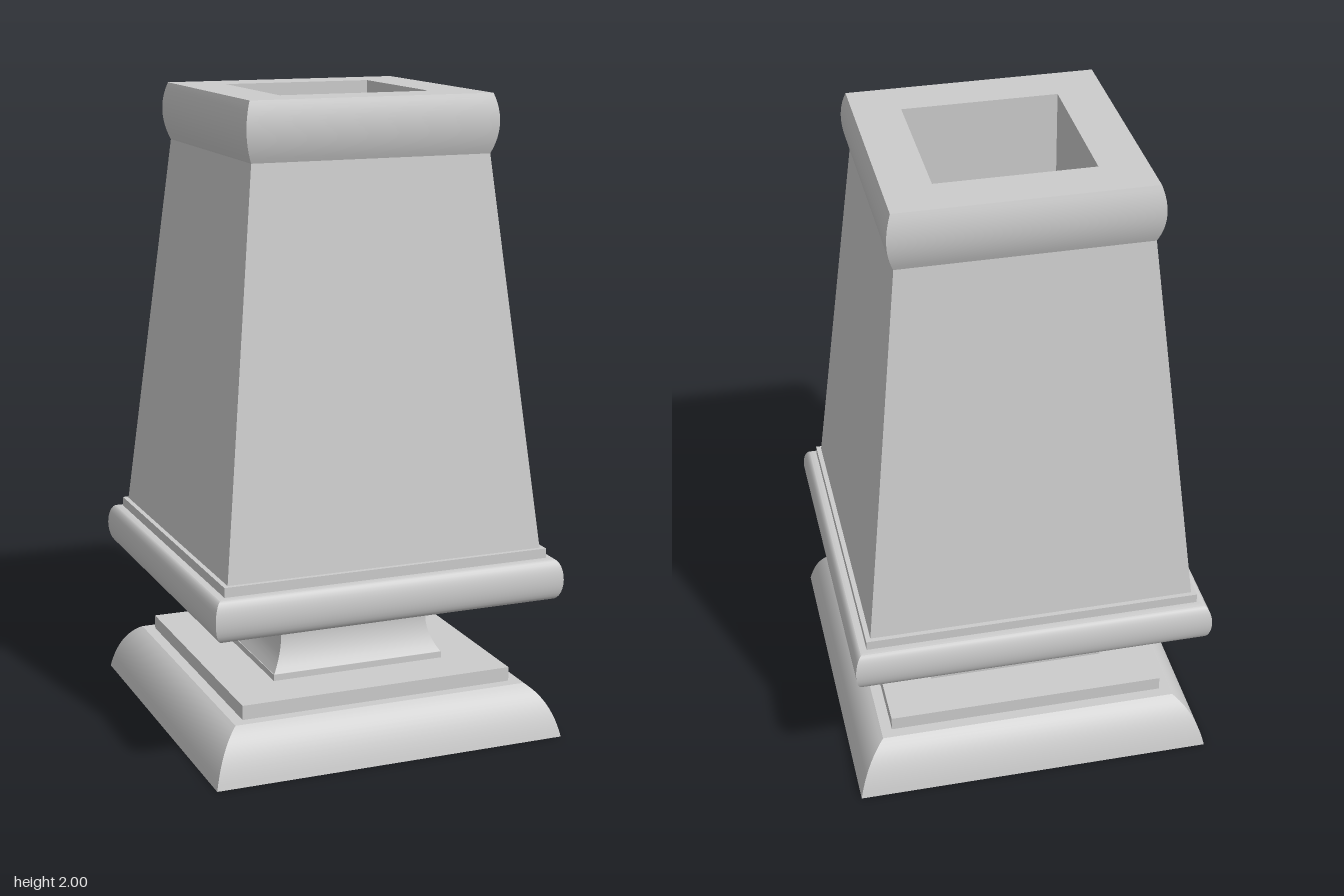
import * as THREE from 'three';
import { toCreasedNormals } from 'three/addons/utils/BufferGeometryUtils.js';

const material = new THREE.MeshStandardMaterial({ color: 0xcccccc, side: THREE.DoubleSide });

// Square, mitred shell from a profile of [half width, height] points, bottom to top
function squareShell(name, profile) {
  const points = profile.map(([half, y]) => new THREE.Vector2(half * Math.SQRT2, y));
  const geometry = new THREE.LatheGeometry(points, 4, Math.PI / 4);
  const mesh = new THREE.Mesh(toCreasedNormals(geometry, 0.55), material);
  mesh.name = name;
  return mesh;
}

// Half-ellipse moulding between two heights; negative bulge makes a hollow
function moulding(half, y0, y1, bulge, steps = 14) {
  return Array.from({ length: steps + 1 }, (_, i) => {
    const a = (i / steps - 0.5) * Math.PI;
    return [half + bulge * Math.cos(a), (y0 + y1) / 2 + ((y1 - y0) / 2) * Math.sin(a)];
  });
}

// Shallow circular-looking bulge that leans from one half width to another
function shallowBulge(half0, half1, y0, y1, bulge, steps = 12) {
  return Array.from({ length: steps + 1 }, (_, i) => {
    const t = i / steps;
    return [half0 + (half1 - half0) * t + bulge * 4 * t * (1 - t), y0 + (y1 - y0) * t];
  });
}

export function createModel() {
  const group = new THREE.Group();
  group.name = 'squareUrn';

  // Flared foot, open underneath
  const flare = new THREE.QuadraticBezierCurve(
    new THREE.Vector2(0.57, 0), new THREE.Vector2(0.545, 0.12), new THREE.Vector2(0.48, 0.16));
  group.add(squareShell('foot', [...flare.getPoints(12).map((p) => [p.x, p.y]), [0.445, 0.16]]));
  group.add(squareShell('footStep', [[0.445, 0.16], [0.445, 0.205], [0.285, 0.205]]));

  // Collar and hollowed neck
  group.add(squareShell('neckCollar', [[0.285, 0.205], [0.285, 0.225], [0.28, 0.225]]));
  group.add(squareShell('neck', shallowBulge(0.283, 0.285, 0.225, 0.45, -0.038)));

  // Rounded band and fillet under the body
  group.add(squareShell('band', [[0.285, 0.45], ...moulding(0.54, 0.45, 0.58, 0.027), [0.525, 0.58]]));
  group.add(squareShell('bandFillet', [[0.525, 0.58], [0.525, 0.61], [0.51, 0.61]]));

  // Tapered body and rolled rim
  group.add(squareShell('body', [[0.51, 0.61], [0.38, 1.82]]));
  group.add(squareShell('rim', [...shallowBulge(0.38, 0.385, 1.82, 2, 0.018), [0.24, 2]]));

  // Square well with its floor, and the shaft rising from the neck below it
  group.add(squareShell('well', [[0, 0.66], [0.24, 0.66], [0.24, 2]]));
  group.add(squareShell('neckShaft', [[0.285, 0.45], [0.24, 0.45], [0.24, 0.66]]));

  return group;
}
